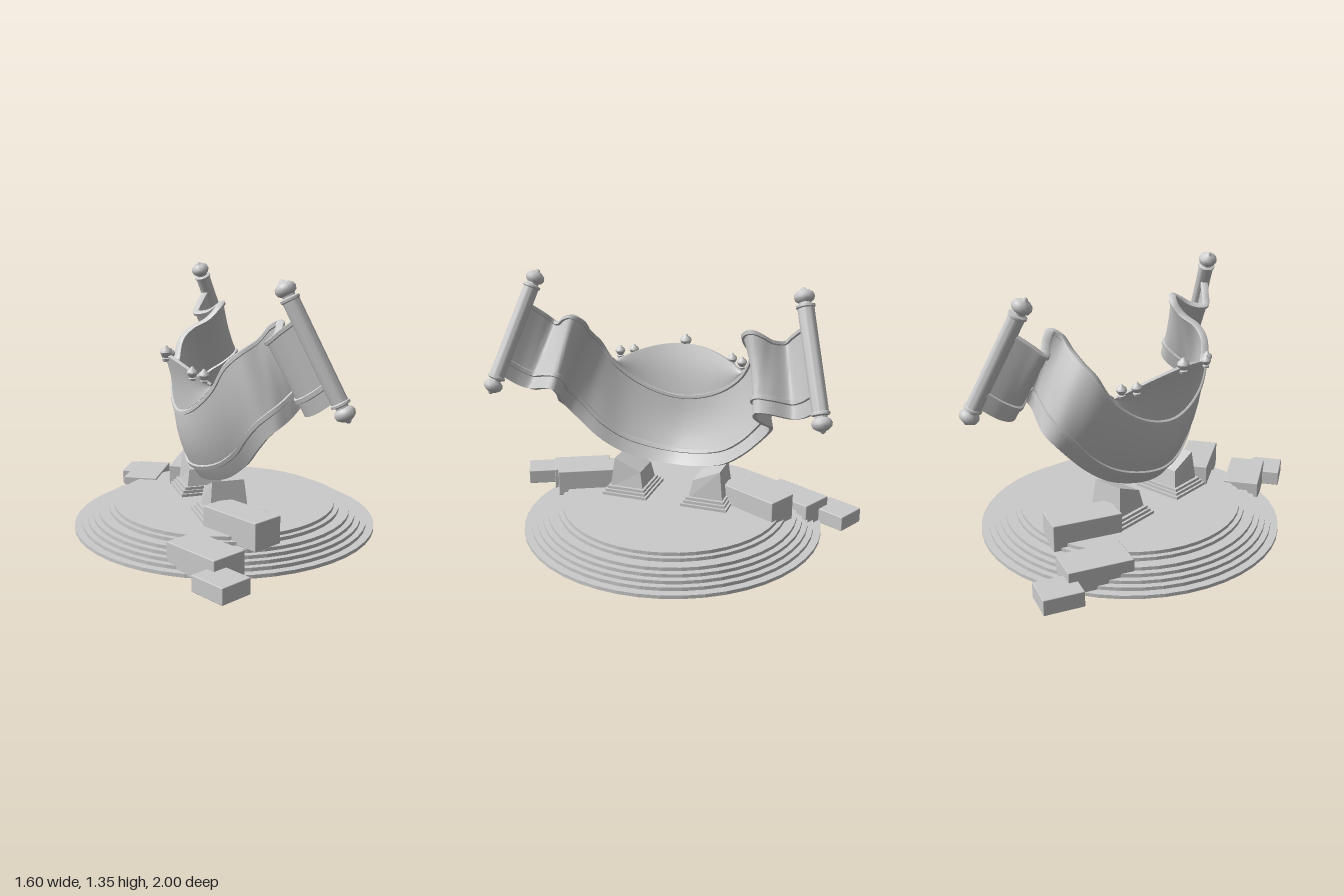
import * as THREE from 'three';
import { toCreasedNormals } from 'three/addons/utils/BufferGeometryUtils.js';
import { RoundedBoxGeometry } from 'three/addons/geometries/RoundedBoxGeometry.js';

const V = (x, y, z) => new THREE.Vector3(x, y, z);
const grey = new THREE.MeshStandardMaterial({ color: 0xcccccc });
const greySheet = new THREE.MeshStandardMaterial({ color: 0xcccccc, side: THREE.DoubleSide });
const greyFlat = new THREE.MeshStandardMaterial({ color: 0xcccccc, flatShading: true });

function add(parent, name, geometry, material = grey) {
  const mesh = new THREE.Mesh(geometry, material);
  mesh.name = name;
  parent.add(mesh);
  return mesh;
}

// Half of an edge (middle to left end), mirrored into a full curve across z
function mirroredCurve(half) {
  const right = half.slice(1).reverse().map(([x, y, z]) => V(x, y, -z));
  return new THREE.CatmullRomCurve3([...right, ...half.map((p) => V(...p))]);
}

const upperEdge = mirroredCurve([
  [-0.25, 0.645, 0], [-0.24, 0.67, 0.14], [-0.215, 0.735, 0.27], [-0.175, 0.83, 0.37],
  [-0.135, 0.94, 0.425], [-0.07, 1.0, 0.445], [0.02, 1.05, 0.43], [0.08, 1.11, 0.43],
  [0.115, 1.14, 0.47], [0.1, 1.12, 0.51], [0.06, 1.08, 0.56], [0.005, 1.07, 0.62],
  [0.04, 1.12, 0.67], [0.1, 1.185, 0.735],
]);
const lowerEdge = mirroredCurve([
  [-0.14, 0.275, 0], [-0.12, 0.29, 0.14], [-0.07, 0.34, 0.29], [-0.02, 0.43, 0.41],
  [0, 0.52, 0.5], [0.03, 0.595, 0.56], [0.07, 0.635, 0.575], [0.14, 0.675, 0.55],
  [0.21, 0.73, 0.525], [0.24, 0.765, 0.54], [0.235, 0.765, 0.59], [0.17, 0.73, 0.7],
  [0.19, 0.75, 0.76], [0.25, 0.82, 0.84],
]);

// Thick sheet between two edges; side lists [height fraction, half thickness] from top to bottom
function sheet(low, high, side, u0, u1, steps, bulge) {
  const loop = [...side, ...side.map(([v, d]) => [v, -d]).reverse(), side[0]];
  const geo = new THREE.PlaneGeometry(1, 1, steps, loop.length - 1);
  const pos = geo.attributes.position;
  const at = (u, v) => low(u).lerp(high(u), v);
  for (let i = 0; i < pos.count; i++) {
    const u = u0 + ((u1 - u0) * (i % (steps + 1))) / steps;
    const [v, d] = loop[Math.floor(i / (steps + 1))];
    const along = at(Math.min(u + 0.002, 1), v).sub(at(Math.max(u - 0.002, 0), v));
    const normal = along.cross(high(u).sub(low(u))).normalize();
    const swell = bulge * 4 * v * (1 - v) * Math.max(0, 1 - Math.abs(u - 0.5) * 3);
    const p = at(u, v).addScaledVector(normal, d + swell);
    pos.setXYZ(i, p.x, p.y, p.z);
  }
  return toCreasedNormals(geo, 0.7);
}

function lathe(points, segments = 24) {
  const profile = points.map(([r, y]) => new THREE.Vector2(r, y));
  return toCreasedNormals(new THREE.LatheGeometry(profile, segments), 0.7);
}

export function createModel() {
  const model = new THREE.Group();

  // Round stepped base
  const base = new THREE.Group();
  base.name = 'steppedBase';
  base.position.z = -0.035;
  model.add(base);
  const h = 0.125 / 7;
  [0.8, 0.76, 0.73, 0.7, 0.67, 0.615, 0.59].forEach((r, i) => {
    const step = add(base, 'baseStep', new THREE.CylinderGeometry(r, r, h, 48), greyFlat);
    step.position.y = h * (i + 0.5);
  });

  // Unrolled banner with raised trim along both borders
  const low = (u) => lowerEdge.getPoint(u);
  const high = (u) => upperEdge.getPoint(u);
  const trim = [
    [1, 0.012], [0.99, 0.02], [0.95, 0.02], [0.94, 0.01], [0.8, 0.01], [0.65, 0.01], [0.5, 0.01],
    [0.36, 0.01], [0.24, 0.01], [0.23, 0.021], [0.18, 0.021], [0.17, 0.01], [0.08, 0.01], [0, 0.01],
  ];
  add(model, 'banner', sheet(low, high, trim, 0, 1, 156, 0.035), greySheet);

  // Curved crest rising behind the middle of the banner
  const crestTop = (u) => {
    const p = high(u);
    const z2 = p.z * p.z;
    return V(-0.305 + 0.95 * z2, Math.max(0.922 - 0.72 * z2, p.y + 0.01), p.z);
  };
  const crestSide = [1, 0.75, 0.5, 0.25, 0].map((v) => [v, 0.01]);
  add(model, 'crest', sheet(high, crestTop, crestSide, 0.5 - 3 / 26, 0.5 + 3 / 26, 48, -0.012), greySheet);

  // Knobs standing on the crest
  const knob = lathe([
    [0, -0.045], [0.018, -0.042], [0.022, -0.03], [0.014, -0.025], [0.024, -0.014], [0.032, 0.002],
    [0.027, 0.016], [0.013, 0.026], [0.009, 0.034], [0, 0.04],
  ], 16);
  const placeKnob = (name, x, y, z, size) => {
    const k = add(model, name, knob);
    k.position.set(x, y, z);
    k.scale.setScalar(size);
  };
  placeKnob('crestKnob', -0.318, 0.935, 0, 1);

  // Scroll rod with turned ends
  const end = [
    [0.04, 0.245], [0.046, 0.25], [0.046, 0.26], [0.03, 0.266], [0.03, 0.274], [0.044, 0.284],
    [0.05, 0.3], [0.045, 0.318], [0.028, 0.331], [0.014, 0.337], [0.01, 0.344], [0, 0.35],
  ];
  const rod = lathe([...end.map(([r, y]) => [r, -y]).reverse(), ...end]);

  // Slanted-top pedestal body
  const bodyGeometry = (s) => {
    const geo = new THREE.BoxGeometry(0.2, 0.17, 0.19);
    const pos = geo.attributes.position;
    for (let i = 0; i < pos.count; i++) {
      if (pos.getY(i) < 0) continue;
      const outer = pos.getZ(i) * s > 0;
      pos.setXYZ(i, pos.getX(i) * 0.83, outer ? 0.085 : 0.02, pos.getZ(i) * 0.78);
    }
    geo.computeVertexNormals();
    return geo;
  };

  for (const s of [1, -1]) {
    const side = s > 0 ? 'left' : 'right';

    placeKnob(side + 'InnerKnob', -0.255, 0.875, s * 0.28, 0.85);
    placeKnob(side + 'OuterKnob', -0.215, 0.872, s * 0.345, 0.85);

    const top = V(0.055, 1.305, s * 0.705);
    const bottom = V(0.285, 0.765, s * 0.86);
    const scroll = add(model, side + 'ScrollRod', rod);
    scroll.position.copy(top).add(bottom).multiplyScalar(0.5);
    scroll.quaternion.setFromUnitVectors(V(0, 1, 0), top.sub(bottom).normalize());

    // Pedestal on stepped plinth
    const pedestal = new THREE.Group();
    pedestal.name = side + 'Pedestal';
    pedestal.position.set(-0.08, 0, s * 0.225);
    model.add(pedestal);
    [[0.28, 0.255], [0.255, 0.23], [0.23, 0.21]].forEach(([w, d], i) => {
      add(pedestal, 'plinthStep', new THREE.BoxGeometry(w, 0.016, d)).position.y = 0.132 + i * 0.015;
    });
    add(pedestal, 'pedestalBody', bodyGeometry(s), greyFlat).position.y = 0.24;

    // Three stair blocks stepping down outward: width, height, length, x, y, z
    [
      ['upperBlock', 0.17, 0.14, 0.36, -0.07, 0.16, 0.48],
      ['middleBlock', 0.19, 0.13, 0.33, -0.295, 0.07, 0.635],
      ['lowerBlock', 0.17, 0.08, 0.2, -0.29, 0.045, 0.875],
    ].forEach(([name, w, hgt, l, x, y, z]) => {
      const block = add(model, side + name, new RoundedBoxGeometry(w, hgt, l, 1, 0.004));
      block.position.set(x, y, s * z);
      block.rotation.y = s * 0.464;
    });
  }
  return model;
}
